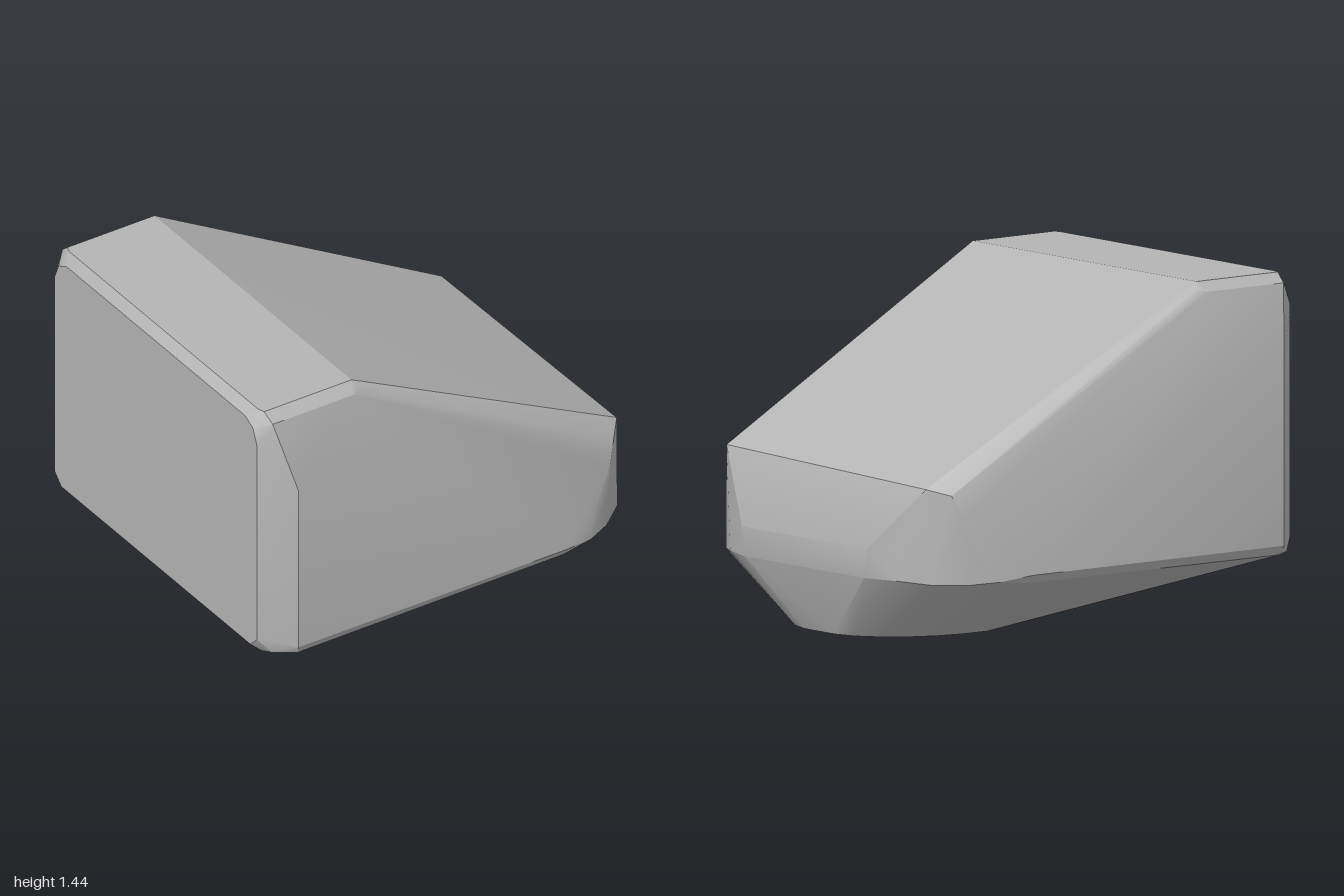
import * as THREE from 'three';
import { toCreasedNormals } from 'three/addons/utils/BufferGeometryUtils.js';
import { ConvexGeometry } from 'three/addons/geometries/ConvexGeometry.js';

// Corners [x, y, z] of the left half, mirrored across z = 0
const corners = [
  // back panel and its bevelled rim
  [-1, 1.40, 0.68], [-1, 1.37, 0.74], [-1, 1.30, 0.77], [-1, 0.32, 0.77], [-1, 0.27, 0.72],
  [-0.96, 1.44, 0.72], [-0.94, 1.40, 0.80], [-0.96, 0.235, 0.74], [-0.95, 0.26, 0.81],
  // flat top and its bevelled edges
  [-0.95, 1.44, 0.75], [-0.51, 1.44, 0.75], [-0.53, 1.40, 0.80], [-0.49, 1.41, 0.78],
  // side wall
  [-0.87, 1.09, 0.89], [-0.87, 0.30, 0.89], [-0.86, 0.26, 0.87],
  [0.48, 0.30, 0.89], [0.48, 0.265, 0.87],
  // rounded front corner
  [0.63, 0.28, 0.855], [0.62, 0.34, 0.855], [0.75, 0.27, 0.79], [0.75, 0.42, 0.795],
  [0.87, 0.27, 0.69], [0.95, 0.28, 0.56], [0.94, 0.40, 0.57],
  [0.77, 0.56, 0.785], [0.81, 0.65, 0.75],
  // nose
  [1, 0.28, 0.40], [1, 0.405, 0.42],
  // underside
  [0.05, 0.045, 0.48], [0.37, 0, 0.44], [0.5, 0, 0.435], [0.62, 0, 0.41],
  [0.73, 0, 0.36], [0.82, 0, 0.29], [0.89, 0, 0.20], [0.92, 0, 0.10],
];
// Front brow differs slightly from side to side
const brow = [[0.87, 0.71, 0.685], [0.88, 0.675, -0.665]];

export function createModel() {
  const group = new THREE.Group();
  const grey = new THREE.MeshStandardMaterial({ color: 0xb4b4b4 });
  grey.name = 'grey';

  const points = brow.map(p => new THREE.Vector3(...p));
  for (const [x, y, z] of corners) {
    for (const side of [1, -1]) points.push(new THREE.Vector3(x, y, side * z));
  }

  // Convex shell with smooth bevels and sharp main edges
  const shell = new THREE.Mesh(toCreasedNormals(new ConvexGeometry(points), 0.45), grey);
  shell.name = 'shell';
  group.add(shell);
  return group;
}
